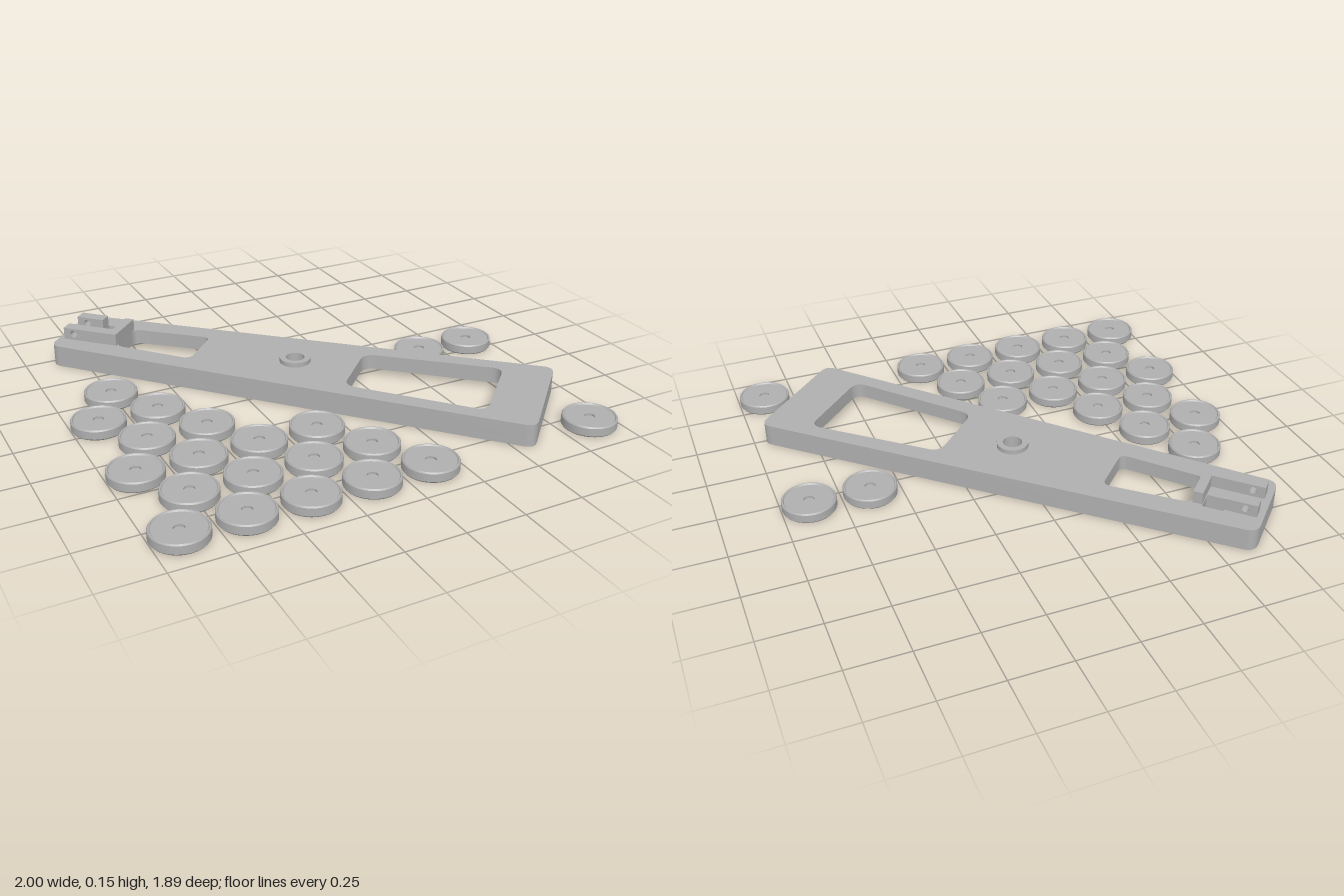
import * as THREE from 'three';
import { toCreasedNormals } from 'three/addons/utils/BufferGeometryUtils.js';

// Trace a polygon with rounded corners onto a Shape or Path
function roundedPath(path, pts, r) {
  const v = pts.map(([x, y]) => new THREE.Vector2(x, y));
  v.forEach((p, i) => {
    const toward = (q) => p.clone().add(q.clone().sub(p).setLength(r));
    const a = toward(v[(i + v.length - 1) % v.length]);
    const b = toward(v[(i + 1) % v.length]);
    if (i === 0) path.moveTo(a.x, a.y);
    else path.lineTo(a.x, a.y);
    path.quadraticCurveTo(p.x, p.y, b.x, b.y);
  });
  path.closePath();
  return path;
}

// Symmetric tapered outline running along the board
const taper = (u0, h0, u1, h1) => [[u0, -h0], [u1, -h1], [u1, h1], [u0, h0]];

function circle(r, x = 0, y = 0, path = new THREE.Path()) {
  path.absarc(x, y, r, 0, Math.PI * 2, false);
  return path;
}

const extrude = (shape, depth) => toCreasedNormals(
  new THREE.ExtrudeGeometry(shape, { depth, bevelEnabled: false, curveSegments: 10 }), 0.6);

// Flat slab lying between two heights
const slab = (shape, y0, y1) => extrude(shape, y1 - y0).rotateX(-Math.PI / 2).translate(0, y0, 0);

export function createModel() {
  const model = new THREE.Group();
  const grey = new THREE.MeshStandardMaterial({ color: 0xb0b0b0 });
  grey.name = 'grey plastic';

  const add = (parent, name, geometry) => {
    const mesh = new THREE.Mesh(geometry, grey);
    mesh.name = name;
    parent.add(mesh);
    return mesh;
  };

  // Tapered board, turned diagonally about its centre hole
  const board = new THREE.Group();
  board.name = 'board';
  board.position.set(0.008, 0, -0.072);
  board.rotation.y = -Math.PI / 4;
  model.add(board);

  const outline = taper(-1.09, 0.18, 1.075, 0.278);
  const plate = roundedPath(new THREE.Shape(), outline, 0.05);
  plate.holes.push(
    roundedPath(new THREE.Path(), taper(0.265, 0.16, 0.87, 0.2), 0.055),
    roundedPath(new THREE.Path(), taper(-0.807, 0.094, -0.443, 0.116), 0.035),
    roundedPath(new THREE.Path(), [[-0.936, 0.02], [-0.85, 0.02], [-0.85, 0.1], [-0.936, 0.1]], 0.002),
    circle(0.041));
  add(board, 'plate', slab(plate, 0.03, 0.095));

  // Shallow skirt leaving the underside hollow
  const skirt = roundedPath(new THREE.Shape(), outline, 0.05);
  skirt.holes.push(roundedPath(new THREE.Path(), taper(-1.07, 0.16, 1.055, 0.257), 0.035));
  add(board, 'skirt', slab(skirt, 0, 0.03));

  // Raised collar round the centre hole
  const collar = circle(0.067, 0, 0, new THREE.Shape());
  collar.holes.push(circle(0.041));
  add(board, 'collar', slab(collar, 0.09, 0.115));

  // Clip: two drilled bars and an end wall at the narrow end
  const bar = (name, uEnd, z) => {
    const side = new THREE.Shape();
    side.moveTo(-1.064, 0.094);
    side.lineTo(uEnd, 0.094);
    side.lineTo(uEnd, 0.148);
    side.lineTo(-1.064, 0.148);
    side.closePath();
    side.holes.push(circle(0.016, -1.016, 0.123));
    add(board, name, extrude(side, 0.053).translate(0, 0, z));
  };
  bar('longClipBar', -0.84, 0.042);
  bar('shortClipBar', -0.936, -0.09);
  add(board, 'clipWall', new THREE.BoxGeometry(0.04, 0.054, 0.185).translate(-0.827, 0.121, 0.0025));

  // Round pieces with a thin rim, a shallow recess and a small centre dimple
  const profile = [
    [0, 0], [0.107, 0], [0.112, 0.006], [0.112, 0.039], [0.108, 0.045],
    [0.104, 0.045], [0.1, 0.039], [0.022, 0.039], [0.022, 0.03], [0, 0.03],
  ].map(([x, y]) => new THREE.Vector2(x, y));
  const discGeometry = toCreasedNormals(new THREE.LatheGeometry(profile, 40), 0.5);

  const pitch = 0.2535;
  const disc = (x, z) => add(model, 'disc', discGeometry).position.set(x, 0, z);

  // Staggered triangle of pieces: start x, number in row
  const rows = [[-0.762, 1], [-0.888, 2], [-0.762, 2], [-0.888, 4], [-0.762, 4], [-0.888, 5]];
  rows.forEach(([x, count], row) => {
    for (let i = 0; i < count; i++) disc(x + i * pitch, -0.27 + row * 0.2192);
  });

  // Loose pieces on the other side
  [[0.63, -0.051], [0.885, -0.051], [0.885, 0.826]].forEach(([x, z]) => disc(x, z));

  return model;
}
